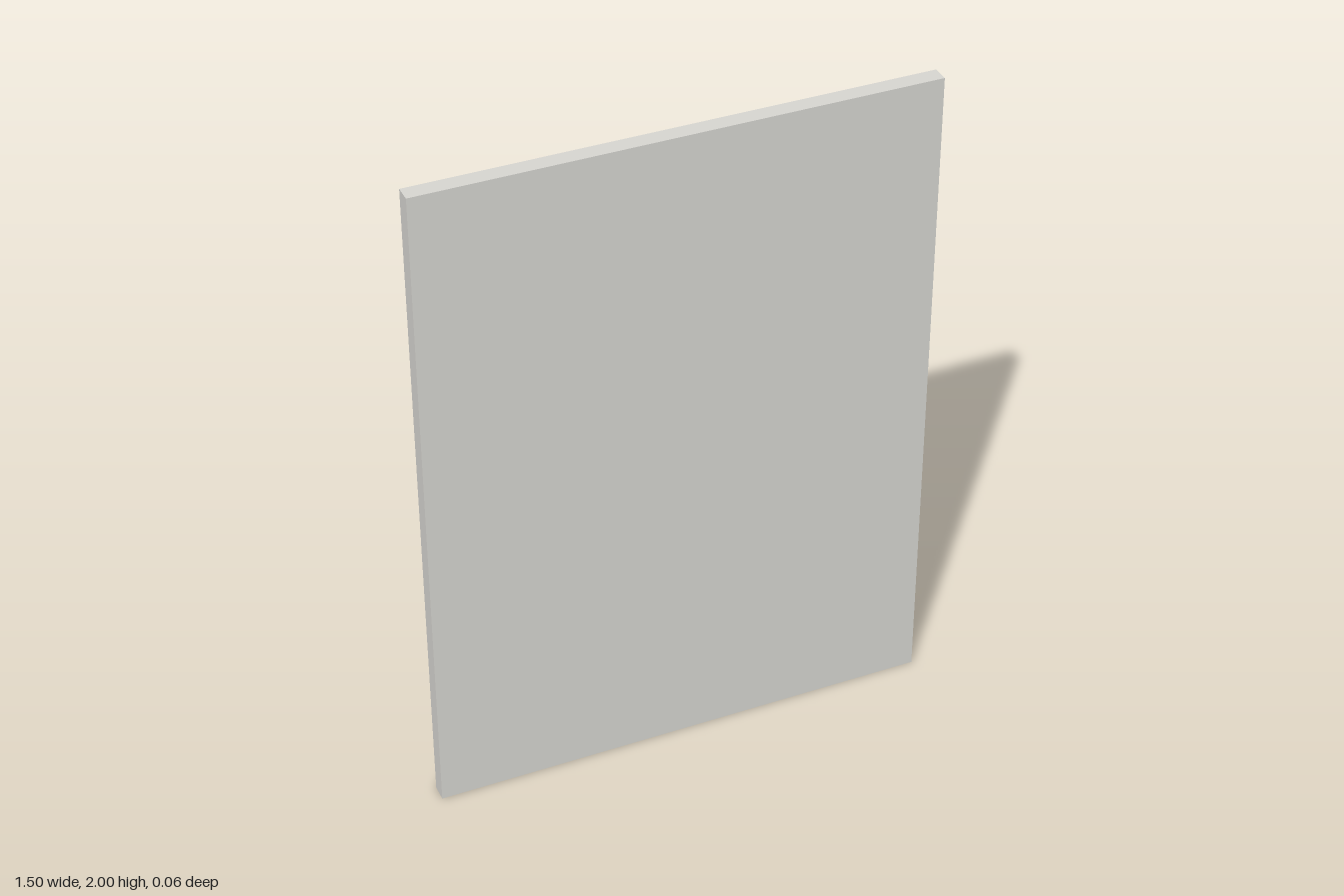
import * as THREE from 'three';

export function createModel() {
  const group = new THREE.Group();
  const panelMat = new THREE.MeshStandardMaterial({ color: 0xd8d7d2 });
  const darkMat = new THREE.MeshStandardMaterial({ color: 0x333338 });
  const redMat = new THREE.MeshStandardMaterial({ color: 0xc8453c });

  // Upright slab
  const panel = new THREE.Mesh(new THREE.BoxGeometry(1.5, 2, 0.05), panelMat);
  panel.name = 'panel';
  panel.position.set(0, 1, 0.005);
  group.add(panel);

  // Grid of raised square tiles on the back; one red tile in some rows
  const tiles = new THREE.Group();
  tiles.name = 'tiles';
  const tileGeo = new THREE.BoxGeometry(0.15, 0.15, 0.01);
  const redColumn = { 0: 2, 1: 3, 2: 4, 5: 0 }; // row from the bottom : column from -x
  for (let row = 0; row < 6; row++) {
    for (let col = 0; col < 5; col++) {
      const red = redColumn[row] === col;
      const tile = new THREE.Mesh(tileGeo, red ? redMat : darkMat);
      tile.name = red ? 'redTile' : 'darkTile';
      tile.position.set((col - 2) * 0.25, 0.15 + row * 0.25, -0.025);
      tiles.add(tile);
    }
  }
  group.add(tiles);
  return group;
}
